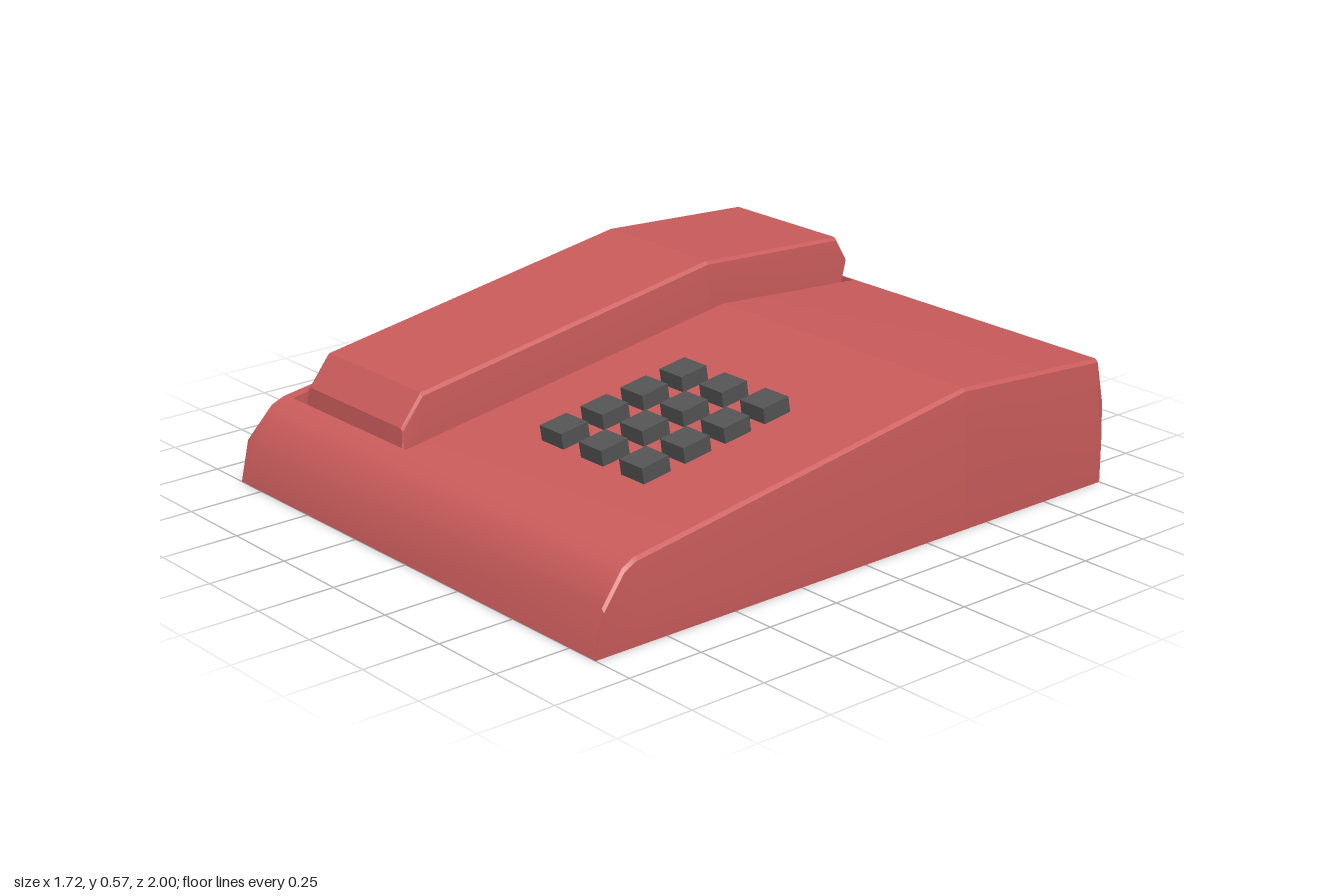
import * as THREE from 'three';
import { toCreasedNormals, mergeGeometries } from 'three/addons/utils/BufferGeometryUtils.js';

const red = new THREE.MeshStandardMaterial({ color: 0xcc5c5c });
const dark = new THREE.MeshStandardMaterial({ color: 0x555555 });

// Skins closed [x, y, z] rings, ordered from front to back
function loft(rings) {
  const pos = [];
  const tri = (...p) => {
    const [a, b, c] = p.map((q) => new THREE.Vector3(...q));
    if (b.clone().sub(a).cross(c.clone().sub(a)).length() > 1e-7) pos.push(...p.flat());
  };
  for (let i = 0; i < rings.length - 1; i++) {
    const r = rings[i], s = rings[i + 1], n = r.length;
    for (let j = 0; j < n; j++) {
      const k = (j + 1) % n;
      tri(r[j], r[k], s[k]);
      tri(r[j], s[k], s[j]);
    }
  }
  const g = new THREE.BufferGeometry();
  g.setAttribute('position', new THREE.Float32BufferAttribute(pos, 3));
  return toCreasedNormals(g, 0.55);
}

// Lofts both sides of the ridge separately so the ridge stays sharp
function ridged(rings, ridge) {
  return mergeGeometries([loft(rings.slice(0, ridge + 1)), loft(rings.slice(ridge))]);
}

// Body section: chamfered top edges and a sunken channel on one side
function bodyRing([z, y, w, depth = 0]) {
  const low = Math.max(0, y - 0.14), edge = Math.max(0, y - 0.01), top = w - 0.01;
  return [
    [-0.86, 0], [-0.86, low], [-w, edge], [-top, y],
    [-0.8, y], [-0.8, y - depth], [-0.21, y - depth], [-0.21, y],
    [top, y], [w, edge], [0.86, low], [0.86, 0],
  ].map(([x, h]) => [x, h, z]);
}

// Handset section: tapered sides with a small chamfer
function handsetRing([z, y, bottom]) {
  const low = Math.max(bottom, y - 0.11), edge = Math.max(bottom, y - 0.01);
  const half = [[0.255, bottom], [0.255, low], [0.245, edge], [0.235, y]];
  return [...half.map(([x, h]) => [-x, h, z]), ...half.reverse().map(([x, h]) => [x, h, z])];
}

export function createModel() {
  const phone = new THREE.Group();
  phone.name = 'deskPhone';
  const add = (name, geometry, material, parent = phone) => {
    const mesh = new THREE.Mesh(geometry, material);
    mesh.name = name;
    parent.add(mesh);
    return mesh;
  };

  // Body: z, top height, half width at the top, channel depth
  const body = [
    [1, 0, 0.86], [0.97, 0.14, 0.86], [0.89, 0.232, 0.85], [0.85, 0.25, 0.847],
    [0.84, 0.252, 0.847], [0.84, 0.252, 0.847, 0.075],
    [-0.4, 0.44, 0.847, 0.075],
    [-0.97, 0.401, 0.847, 0.075], [-0.97, 0.401, 0.847], [-0.98, 0.4, 0.847],
    [-1, 0.27, 0.855], [-1, 0, 0.86],
  ];
  add('body', ridged(body.map(bodyRing), 6), red);

  // Handset: z, top height, underside height
  const handset = [
    [0.83, 0.18, 0.18], [0.82, 0.3, 0.18], [0.745, 0.395, 0.19],
    [-0.37, 0.575, 0.362],
    [-0.93, 0.545, 0.33], [-0.965, 0.465, 0.465],
  ];
  add('handset', ridged(handset.map(handsetRing), 3), red).position.x = -0.495;

  // Keypad: 4 rows of 3 keys, tilted with the sloping face
  const keypad = new THREE.Group();
  keypad.name = 'keypad';
  phone.add(keypad);
  const slope = 0.19 / 1.25;
  const keyGeometry = new THREE.BoxGeometry(0.1, 0.07, 0.1);
  for (let row = 0; row < 4; row++) {
    for (let col = 0; col < 3; col++) {
      const key = add('key', keyGeometry, dark, keypad);
      const z = 0.055 + row * 0.152;
      key.position.set(0.127 + col * 0.18, 0.25 + (0.85 - z) * slope + 0.015, z);
      key.rotation.x = Math.atan(slope);
    }
  }
  return phone;
}
